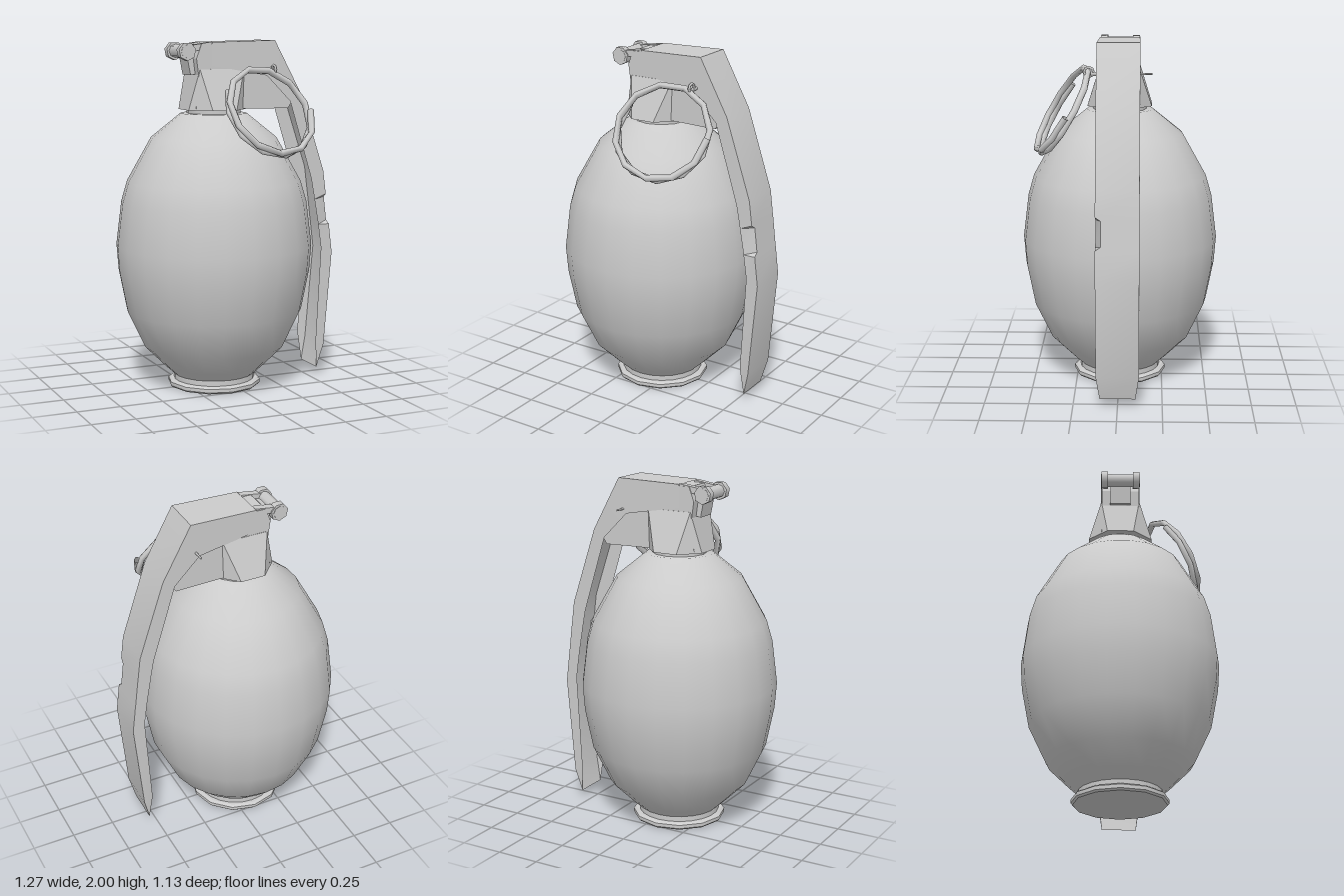
import * as THREE from 'three';
import { toCreasedNormals } from 'three/addons/utils/BufferGeometryUtils.js';
import { ConvexGeometry } from 'three/addons/geometries/ConvexGeometry.js';

const AXIS_X = -0.08; // vertical axis of the body
const V3 = (x, y, z) => new THREE.Vector3(x, y, z);

export function createModel() {
  const group = new THREE.Group();
  const mat = new THREE.MeshStandardMaterial({ color: 0xcccccc });
  const sheetMat = new THREE.MeshStandardMaterial({ color: 0xcccccc, side: THREE.DoubleSide });

  const add = (name, geometry, x = 0, y = 0, z = 0, material = mat) => {
    const mesh = new THREE.Mesh(geometry, material);
    mesh.name = name;
    mesh.position.set(x, y, z);
    group.add(mesh);
    return mesh;
  };
  const lathe = (points, sides, crease) => toCreasedNormals(
    new THREE.LatheGeometry(points.map(([r, y]) => new THREE.Vector2(r, y)), sides), crease);

  // Egg-shaped body with a flat shoulder
  add('body', lathe([
    [0.235, 0.03], [0.235, 0.07], [0.29, 0.12], [0.41, 0.24], [0.51, 0.45], [0.555, 0.68],
    [0.566, 0.83], [0.535, 1.08], [0.5, 1.2], [0.36, 1.45], [0.19, 1.588], [0, 1.59],
  ], 22, 0.7), AXIS_X);

  // Base flange and neck collar
  add('base', lathe([[0, 0], [0.26, 0], [0.27, 0.01], [0.27, 0.03], [0.255, 0.04], [0, 0.04]], 12, 0.6), AXIS_X);
  add('neckCollar', new THREE.CylinderGeometry(0.155, 0.155, 0.04, 12), AXIS_X, 1.6);

  // Flared skirt of the head: octagon below, rectangle above
  const skirt = [];
  for (let i = 0; i < 8; i++) {
    const a = (i + 0.5) * Math.PI / 4;
    skirt.push(V3(AXIS_X - 0.01 + 0.19 * Math.cos(a), 1.61, 0.2 * Math.sin(a)));
  }
  for (const x of [-0.21, 0.06]) for (const z of [-0.112, 0.112]) skirt.push(V3(x, 1.84, z));
  add('headSkirt', new ConvexGeometry(skirt));

  // Head block reaching out under the lever
  const outline = [[-0.235, 1.62], [0.34, 1.61], [0.38, 1.67], [0.24, 1.985], [-0.2, 1.98], [-0.23, 1.9], [-0.21, 1.75]];
  const headShape = new THREE.Shape(outline.map(([x, y]) => new THREE.Vector2(x, y)));
  add('head', new THREE.ExtrudeGeometry(headShape, { depth: 0.22, bevelEnabled: false }), 0, 0, -0.11);

  // Hinge: cross bar, end caps, two tabs and a centre tongue
  const bar = add('hingeBar', new THREE.CylinderGeometry(0.038, 0.038, 0.23, 8), -0.285, 1.94, 0);
  bar.rotation.x = Math.PI / 2;
  for (const s of [-1, 1]) {
    const cap = add('hingeCap', new THREE.CylinderGeometry(0.052, 0.052, 0.04, 7), -0.285, 1.94, s * 0.093);
    cap.rotation.x = Math.PI / 2;
    const tab = add('hingeTab', new THREE.BoxGeometry(0.13, 0.035, 0.04), -0.2, 1.965, s * 0.085);
    tab.rotation.z = 0.15;
  }
  const tongue = add('hingeTongue', new THREE.BoxGeometry(0.05, 0.14, 0.12), -0.235, 1.88, 0);
  tongue.rotation.z = 0.2;

  // Lever: a folded channel; outer x, y, inner x, y, half width, front corner z
  const stations = [
    [-0.14, 1.99, -0.14, 1.86, 0.115, 0.115],
    [0.25, 2.0, 0.2, 1.8, 0.12, 0.12],
    [0.42, 1.69, 0.35, 1.65, 0.12, 0.12],
    [0.57, 1.24, 0.49, 1.2, 0.12, 0.12],
    [0.588, 1.1, 0.511, 1.09, 0.12, 0.12],
    [0.591, 1.08, 0.514, 1.07, 0.12, 0.09],
    [0.608, 0.94, 0.537, 0.94, 0.12, 0.09],
    [0.611, 0.92, 0.54, 0.92, 0.12, 0.12],
    [0.632, 0.75, 0.56, 0.78, 0.12, 0.12],
    [0.583, 0.19, 0.53, 0.22, 0.12, 0.12],
    [0.547, 0.05, 0.547, 0.05, 0.1, 0.1],
  ];
  const positions = [], index = [];
  for (let side = 0; side < 3; side++) {
    const start = positions.length / 3;
    stations.forEach(([ox, oy, ix, iy, w, f], i) => {
      const section = [[ix, iy, w], [ox, oy, f], [ox, oy, -w], [ix, iy, -w]];
      positions.push(...section[side], ...section[side + 1]);
      if (i === 0) return;
      const a = start + 2 * i - 2;
      index.push(a, a + 2, a + 1, a + 1, a + 2, a + 3);
    });
  }
  const lever = new THREE.BufferGeometry();
  lever.setAttribute('position', new THREE.Float32BufferAttribute(positions, 3));
  lever.setIndex(index);
  add('lever', toCreasedNormals(lever, 0.7), 0, 0, 0, sheetMat);

  // Safety pin through the head, with an eye for the ring
  const pin = add('pin', new THREE.CylinderGeometry(0.012, 0.005, 0.34, 6), 0.222, 1.825, -0.015);
  pin.rotation.x = Math.PI / 2;
  const eye = add('pinEye', new THREE.TorusGeometry(0.026, 0.008, 5, 8), 0.222, 1.835, 0.165);
  eye.rotation.y = Math.PI / 2;

  // Split pull ring: one and a half turns of faceted coil, tilted on the pin
  const coil = new THREE.CurvePath();
  const turns = 18;
  const at = (i) => {
    const a = (150 + i * 570 / turns) * Math.PI / 180;
    return V3(0.268 * Math.cos(a), 0.268 * Math.sin(a), -0.02 + 0.04 * i / turns);
  };
  for (let i = 0; i < turns; i++) coil.add(new THREE.LineCurve3(at(i), at(i + 1)));
  const ring = add('pullRing', new THREE.TubeGeometry(coil, turns, 0.019, 6), 0.13, 1.61, 0.315, sheetMat);
  ring.quaternion.setFromUnitVectors(V3(0, 0, 1), V3(0.21, 0.6, 1).normalize());

  return group;
}
